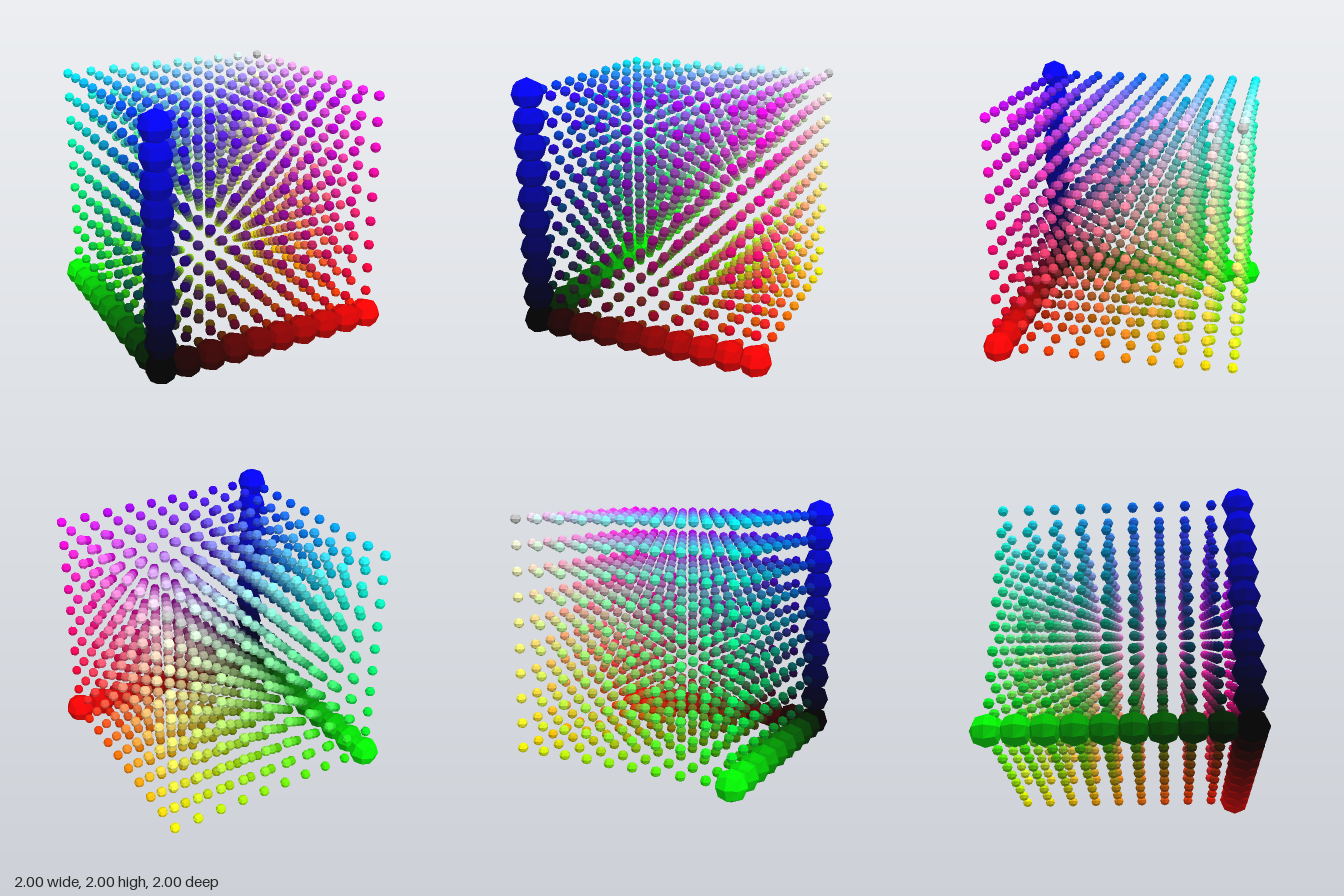
import * as THREE from 'three';

const COUNT = 10;      // balls per axis
const STEP = 1.76 / (COUNT - 1);
const BIG = 0.12;      // radius of the balls on the three axes
const SMALL = 0.04;    // radius of the balls inside the lattice

// Low-poly ball: a cube split 2 x 2 per face, pushed out to a sphere
function ballGeometry(radius) {
  const geometry = new THREE.BoxGeometry(1, 1, 1, 2, 2, 2).toNonIndexed();
  const position = geometry.attributes.position;
  const v = new THREE.Vector3();
  for (let i = 0; i < position.count; i++) {
    v.fromBufferAttribute(position, i).setLength(radius);
    position.setXYZ(i, v.x, v.y, v.z);
  }
  geometry.computeVertexNormals();
  return geometry;
}

// Colour by lattice place: red along x, green towards the back, blue upwards
function ballMaterial(r, g, b) {
  const last = COUNT - 1;
  const material = new THREE.MeshStandardMaterial({ color: 0xcccccc, flatShading: true });
  if (r + g + b < 3 * last) {
    material.color.setRGB(r / last, g / last, b / last, THREE.SRGBColorSpace);
  }
  return material;
}

export function createModel() {
  const model = new THREE.Group();
  model.name = 'colourCube';

  const groups = {};
  for (const name of ['originBall', 'redAxis', 'greenAxis', 'blueAxis', 'lattice']) {
    groups[name] = new THREE.Group();
    groups[name].name = name;
    model.add(groups[name]);
  }

  const big = ballGeometry(BIG);
  const small = ballGeometry(SMALL);

  for (let r = 0; r < COUNT; r++) {
    for (let g = 0; g < COUNT; g++) {
      for (let b = 0; b < COUNT; b++) {
        // Balls with at most one non-zero channel sit on an axis
        const channels = (r > 0) + (g > 0) + (b > 0);
        let part = 'lattice';
        if (channels === 0) part = 'originBall';
        else if (channels === 1) part = r ? 'redAxis' : g ? 'greenAxis' : 'blueAxis';

        const ball = new THREE.Mesh(channels < 2 ? big : small, ballMaterial(r, g, b));
        ball.name = channels < 2 ? 'axisBall' : 'latticeBall';
        ball.position.set(-0.88 + r * STEP, BIG + b * STEP, 0.88 - g * STEP);
        groups[part].add(ball);
      }
    }
  }
  return model;
}
